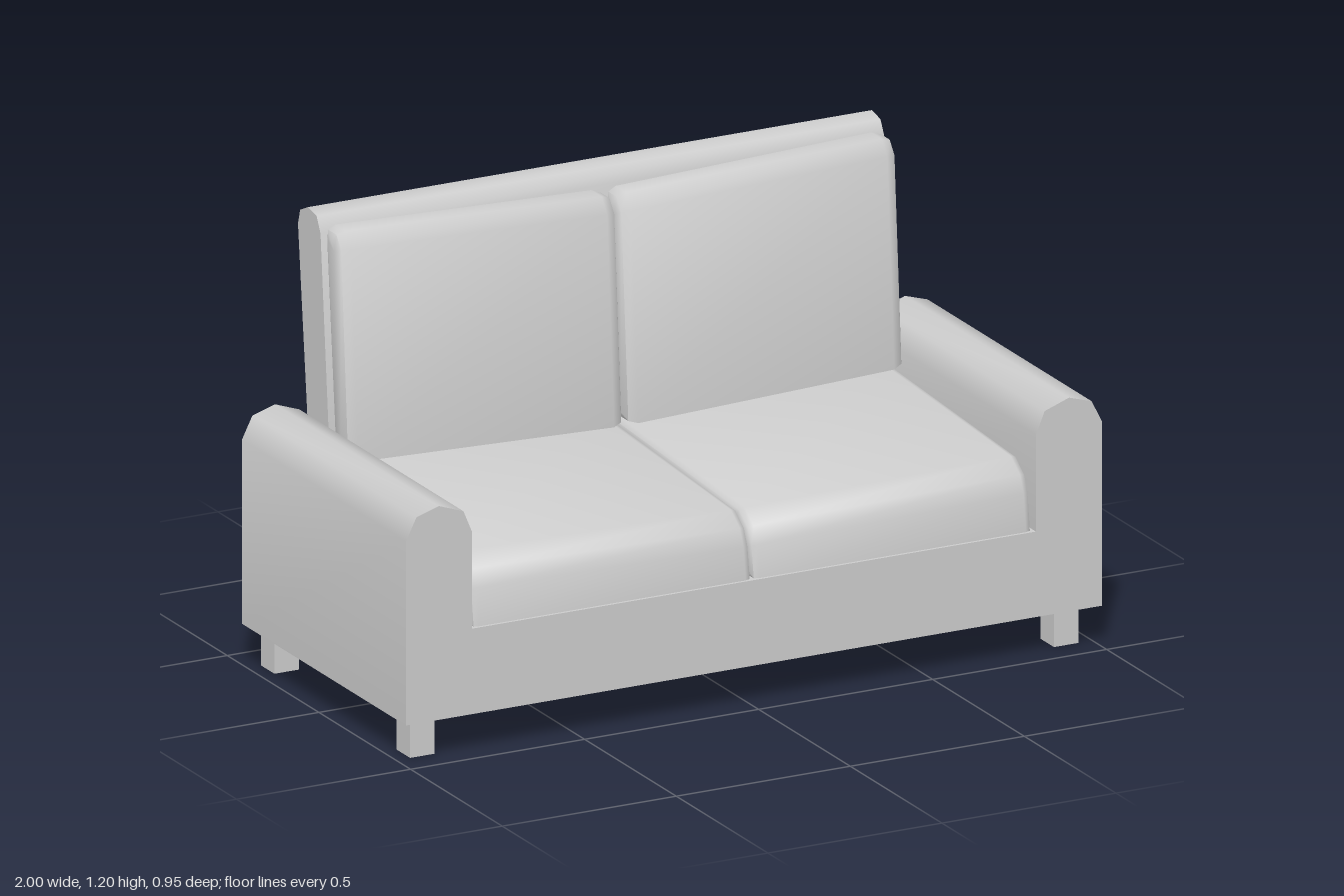
import * as THREE from 'three';
import { toCreasedNormals } from 'three/addons/utils/BufferGeometryUtils.js';

const material = new THREE.MeshStandardMaterial({ color: 0xcccccc });

function addMesh(parent, name, geometry) {
  const mesh = new THREE.Mesh(toCreasedNormals(geometry, 1.0), material);
  mesh.name = name;
  parent.add(mesh);
  return mesh;
}

// Extrudes a side profile of [z, y] points along x, with optionally chamfered ends.
function sideExtrude(points, x0, x1, thickness = 0, size = 0) {
  const shape = new THREE.Shape(points.map(([z, y]) => new THREE.Vector2(-z, y)));
  return new THREE.ExtrudeGeometry(shape, {
    depth: x1 - x0 - 2 * thickness,
    bevelEnabled: thickness > 0,
    bevelThickness: thickness,
    bevelSize: size,
    bevelOffset: -size,
    bevelSegments: 2,
  }).rotateY(Math.PI / 2).translate(x0 + thickness, 0, 0);
}

// Lets the points above minY sink towards the middle of the sofa.
function sag(geometry, amount, minY) {
  const p = geometry.attributes.position;
  for (let i = 0; i < p.count; i++) {
    if (p.getY(i) < minY) continue;
    const inner = 1 - Math.min(1, Math.abs(p.getX(i)) / 0.8);
    p.setY(i, p.getY(i) - amount * inner);
  }
  return geometry;
}

export function createModel() {
  const sofa = new THREE.Group();
  sofa.name = 'sofa';

  // Base and both rounded arms in one U-shaped section
  const arm = [[0.81, 0.34], [0.81, 0.6], [0.835, 0.66], [0.905, 0.685], [0.97, 0.665], [1, 0.605], [1, 0.11]];
  const outline = [...arm].reverse().concat(arm.map(([x, y]) => [-x, y]));
  const frame = new THREE.ExtrudeGeometry(
    new THREE.Shape(outline.map(([x, y]) => new THREE.Vector2(x, y))),
    { depth: 0.895, bevelEnabled: false },
  ).translate(0, 0, -0.42);
  addMesh(sofa, 'baseAndArms', frame);

  // Leaning backrest with a rounded top
  addMesh(sofa, 'backrest', sideExtrude([
    [-0.42, 0.33], [-0.42, 0.6], [-0.475, 1.14], [-0.463, 1.18], [-0.42, 1.2],
    [-0.373, 1.19], [-0.352, 1.15], [-0.305, 0.6], [-0.3, 0.33],
  ], -0.81, 0.81));

  const seatProfile = [
    [0.468, 0.335], [0.455, 0.44], [0.435, 0.485], [0.385, 0.52], [-0.31, 0.555], [-0.31, 0.335],
  ];
  const backProfile = [
    [-0.222, 0.57], [-0.26, 1.13], [-0.29, 1.17], [-0.347, 1.17], [-0.352, 1.13], [-0.302, 0.57],
  ];
  for (const [side, x0, x1] of [['left', 0, 0.805], ['right', -0.805, 0]]) {
    // Seat and back cushions
    addMesh(sofa, side + 'SeatCushion', sag(sideExtrude(seatProfile, x0, x1, 0.02, 0.018), 0.015, 0.42));
    addMesh(sofa, side + 'BackCushion', sag(sideExtrude(backProfile, x0, x1, 0.035, 0.028), 0.028, 0));

    // Square feet
    const x = side === 'left' ? 0.925 : -0.925;
    for (const [end, z] of [['Front', 0.385], ['Back', -0.355]]) {
      addMesh(sofa, side + end + 'Foot', new THREE.BoxGeometry(0.07, 0.12, 0.073)).position.set(x, 0.06, z);
    }
  }
  return sofa;
}
